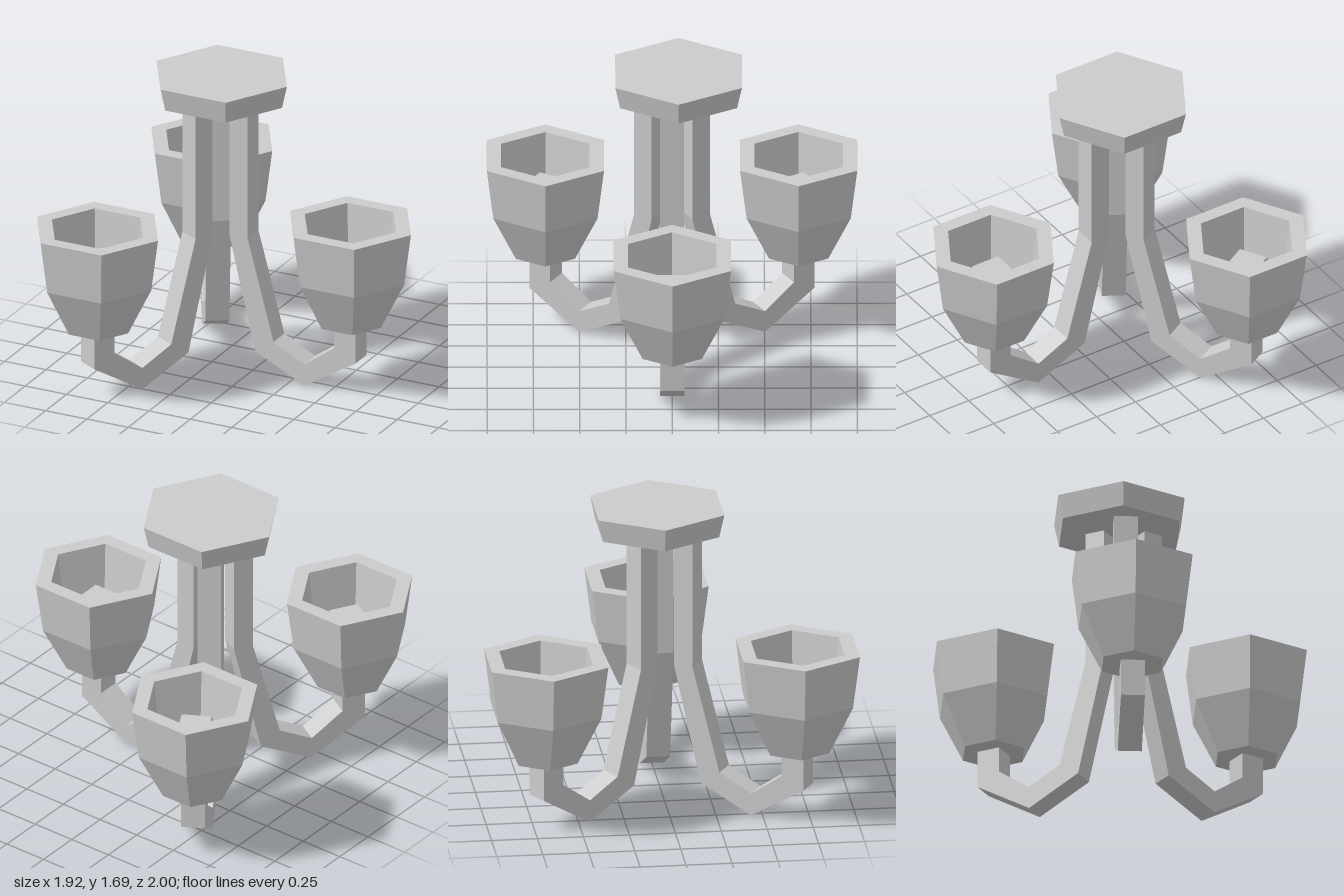
import * as THREE from 'three';

const material = new THREE.MeshStandardMaterial({ color: 0xcccccc, flatShading: true });
const vectors = (pts) => pts.map(([x, y]) => new THREE.Vector2(x, y));

function part(name, geometry, parent) {
  const mesh = new THREE.Mesh(geometry, material);
  mesh.name = name;
  parent.add(mesh);
  return mesh;
}

// Faceted turned shape; a corner points along +x when start = PI / 2
function turned(profile, sides, start) {
  return new THREE.LatheGeometry(vectors(profile), sides, start, Math.PI * 2);
}

const ARM_WIDTH = 0.13;
const LAMP_RADIUS = 0.79;

// Side outline of one arm: down from the canopy, out, and up into the shade
const armOutline = [
  [0.09, 1.58], [0.09, 0.80], [0.246, 0.146], [0.543, 0], [0.853, 0.19], [0.853, 0.45],
  [0.723, 0.45], [0.723, 0.255], [0.543, 0.125], [0.357, 0.22], [0.2, 0.80], [0.2, 1.58],
];

// Outer wall, rim, inner wall and floor of the shade
const shadeProfile = [
  [0, 0.4], [0.185, 0.4], [0.325, 0.68], [0.366, 0.98],
  [0.276, 0.98], [0.24, 0.68], [0.13, 0.44], [0, 0.44],
];

// Square bulb, widest in the middle
const S = Math.SQRT2;
const bulbProfile = [[0, 0.42], [0.065 * S, 0.42], [0.121 * S, 0.65], [0.082 * S, 0.82], [0, 0.82]];

function createLamp() {
  const lamp = new THREE.Group();
  const arm = new THREE.ExtrudeGeometry(new THREE.Shape(vectors(armOutline)), {
    depth: ARM_WIDTH, bevelEnabled: false,
  });
  arm.translate(0, 0, -ARM_WIDTH / 2);
  part('arm', arm, lamp);
  part('shade', turned(shadeProfile, 6, Math.PI / 2), lamp).position.x = LAMP_RADIUS;
  part('bulb', turned(bulbProfile, 4, Math.PI / 4), lamp).position.x = LAMP_RADIUS;
  return lamp;
}

export function createModel() {
  const model = new THREE.Group();
  model.name = 'chandelier';

  // Ceiling canopy, slightly off the axis of the arms
  const canopy = new THREE.CylinderGeometry(0.395, 0.365, 0.13, 6, 1, false, Math.PI / 2);
  part('canopy', canopy, model).position.set(-0.207, 1.625, -0.035);

  // Three identical lamps around the central axis
  for (let i = 0; i < 3; i++) {
    const lamp = createLamp();
    lamp.name = `lamp${i + 1}`;
    lamp.position.x = -0.2;
    lamp.rotation.y = (i * Math.PI * 2) / 3;
    model.add(lamp);
  }
  return model;
}
